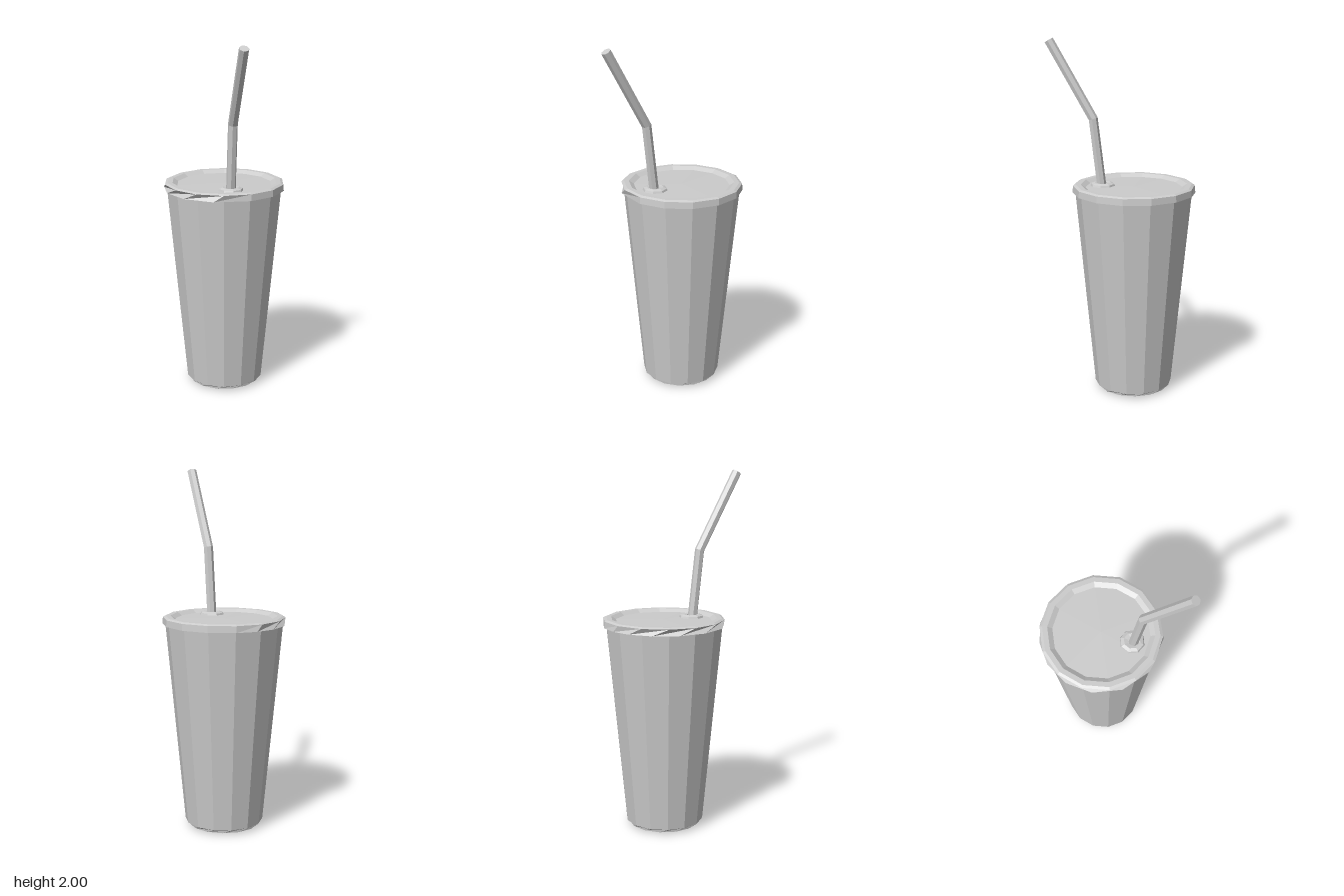
import * as THREE from 'three';

const SIDES = 14;
const CUP_Z = -0.08;

// One polygonal cross-section; tilt leans its axis from +y towards +z
function ring(sides, [x, y, z], r, { tilt = 0, twist = () => 0 } = {}) {
  const pts = [];
  for (let k = 0; k < sides; k++) {
    const a = ((k + twist(k / sides * Math.PI * 2)) / sides) * Math.PI * 2;
    const u = r * Math.cos(a), v = r * Math.sin(a);
    pts.push(new THREE.Vector3(x + u, y - v * Math.sin(tilt), z + v * Math.cos(tilt)));
  }
  return pts;
}

// Skins a stack of rings; a ring of radius 0 closes the end
function loft(name, rings, material) {
  const pos = [];
  const tri = (a, b, c) => {
    if (a.distanceTo(b) < 1e-6 || b.distanceTo(c) < 1e-6 || c.distanceTo(a) < 1e-6) return;
    for (const p of [a, b, c]) pos.push(p.x, p.y, p.z);
  };
  for (let i = 0; i < rings.length - 1; i++) {
    const lo = rings[i], up = rings[i + 1], n = lo.length;
    for (let k = 0; k < n; k++) {
      const j = (k + 1) % n;
      tri(lo[k], up[k], lo[j]);
      tri(lo[j], up[k], up[j]);
    }
  }
  const geometry = new THREE.BufferGeometry();
  geometry.setAttribute('position', new THREE.Float32BufferAttribute(pos, 3));
  geometry.computeVertexNormals();
  const mesh = new THREE.Mesh(geometry, material);
  mesh.name = name;
  return mesh;
}

export function createModel() {
  const group = new THREE.Group();
  group.name = 'drinkCup';
  const material = new THREE.MeshStandardMaterial({
    color: 0xcccccc, flatShading: true, side: THREE.DoubleSide,
  });
  const round = (r, y, opts) => ring(SIDES, [0, y, CUP_Z], r, opts);

  // Tapered cup with a faceted bevel around the base
  group.add(loft('cup', [
    round(0, 0),
    round(0.2, 0.008, { twist: () => 0.5 }),
    round(0.22, 0.03),
    round(0.327, 1.157),
  ], material));

  // Lid: the lower edge is twisted on one side, giving triangular facets
  const skew = (a) => 0.65 * Math.sqrt(Math.max(0, -Math.cos(a + 0.1)));
  group.add(loft('lid', [
    round(0.322, 1.155),
    round(0.343, 1.157, { twist: skew }),
    round(0.34, 1.193),
    round(0.325, 1.2),
    round(0.297, 1.2),
    round(0.27, 1.183),
    round(0, 1.187),
  ], material));

  // Raised collar around the straw hole
  const collar = (r, y) => ring(8, [-0.003, y, 0.098], r);
  group.add(loft('strawCollar', [
    collar(0.071, 1.182), collar(0.066, 1.195), collar(0.047, 1.202), collar(0.025, 1.198),
  ], material));

  // Bent straw with closed ends
  const straw = (y, z, r, tilt) => ring(7, [-0.004, y, z], r, { tilt });
  group.add(loft('straw', [
    straw(1.17, 0.104, 0, 0.13),
    straw(1.17, 0.104, 0.027, 0.13),
    straw(1.56, 0.152, 0.027, 0.33),
    straw(1.986, 0.398, 0.027, 0.53),
    straw(1.986, 0.398, 0, 0.53),
  ], material));

  return group;
}
